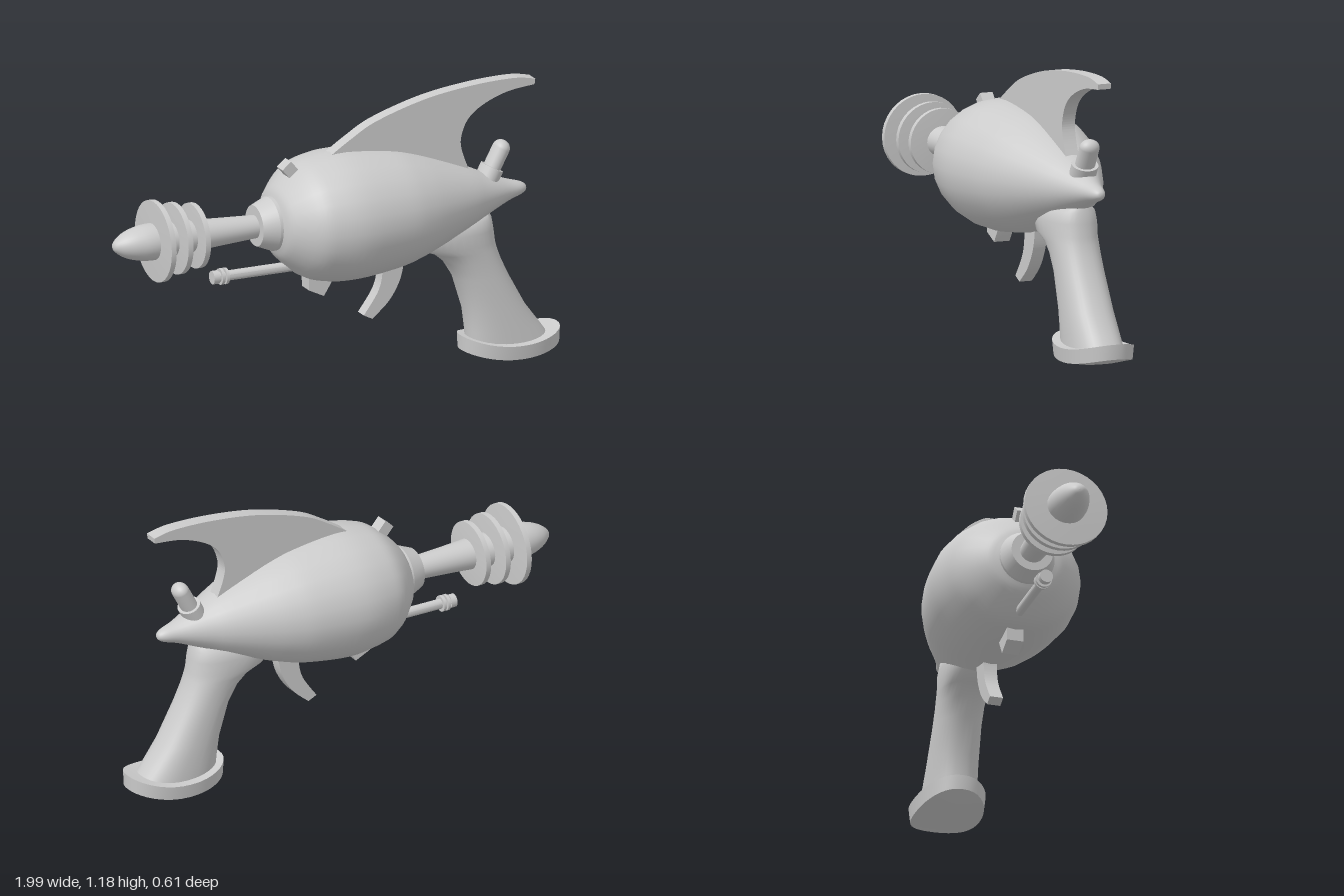
import * as THREE from 'three';
import { toCreasedNormals } from 'three/addons/utils/BufferGeometryUtils.js';

const AXIS_Y = 0.7; // height of the barrel and body axis
const material = new THREE.MeshStandardMaterial({ color: 0xcccccc, side: THREE.DoubleSide });
const vec = (list) => list.map(([x, y]) => new THREE.Vector2(x, y));

function part(name, geometry, x = 0, y = 0) {
  const mesh = new THREE.Mesh(geometry, material);
  mesh.name = name;
  mesh.position.set(x, y, 0);
  return mesh;
}

// Turned shape along x from [x, radius] points; the height is squashed by sy
function turned(points, { smooth = 0, sy = 1, sides = 32, crease = 0.6 } = {}) {
  let pts = vec(points);
  if (smooth) pts = new THREE.SplineCurve(pts).getPoints(smooth);
  const profile = pts.map((p) => new THREE.Vector2(Math.max(p.y, 0), p.x));
  const g = new THREE.LatheGeometry(profile, sides);
  g.rotateZ(-Math.PI / 2);
  g.scale(1, sy, 1);
  return smooth ? g : toCreasedNormals(g, crease);
}

// Flat plate of constant depth; each run of points is a smooth curve
function plate(runs, depth) {
  const shape = new THREE.Shape();
  runs.forEach((run, i) => {
    const [first, ...rest] = vec(run);
    if (i === 0) shape.moveTo(first.x, first.y);
    else shape.lineTo(first.x, first.y);
    if (rest.length > 1) shape.splineThru(rest);
    else rest.forEach((p) => shape.lineTo(p.x, p.y));
  });
  const g = new THREE.ExtrudeGeometry(shape, { depth, bevelEnabled: false, curveSegments: 20 });
  g.translate(0, 0, -depth / 2);
  return toCreasedNormals(g, 0.5);
}

// Loft through stacked rounded rings; ring(i, angle) returns [x, y, z]
function loft(count, sides, ring, crease) {
  const positions = [], index = [];
  for (let i = 0; i < count; i++) {
    for (let j = 0; j < sides; j++) positions.push(...ring(i, (j / sides) * Math.PI * 2));
  }
  for (let i = 0; i < count - 1; i++) {
    for (let j = 0; j < sides; j++) {
      const a = i * sides + j, b = i * sides + ((j + 1) % sides);
      index.push(a, a + sides, b, b, a + sides, b + sides);
    }
  }
  const g = new THREE.BufferGeometry();
  g.setAttribute('position', new THREE.Float32BufferAttribute(positions, 3));
  g.setIndex(index);
  return toCreasedNormals(g, crease);
}

const rounded = (v, power) => Math.sign(v) * Math.abs(v) ** (2 / power);

function createGrip() {
  // [y, front x, back x, half width]
  const keys = [
    [0.06, 0.59, 0.95, 0.105], [0.13, 0.585, 0.9, 0.103], [0.214, 0.575, 0.837, 0.1],
    [0.36, 0.53, 0.757, 0.095], [0.43, 0.487, 0.725, 0.095], [0.475, 0.435, 0.709, 0.098],
    [0.505, 0.36, 0.702, 0.102], [0.56, 0.34, 0.695, 0.104], [0.605, 0.35, 0.688, 0.095],
    [0.627, 0.37, 0.68, 0.07], [0.63, 0.5, 0.5, 0],
  ];
  return loft(keys.length, 36, (i, a) => {
    const [y, x0, x1, hz] = keys[i];
    return [(x0 + x1) / 2 + ((x1 - x0) / 2) * rounded(Math.cos(a), 2.4), y, hz * rounded(Math.sin(a), 2.4)];
  }, 0.9);
}

function createButt() {
  // Oval cap, bent upward at its two ends: [y, scale]
  const keys = [[0.003, 0], [0.006, 0.5], [0.016, 0.95], [0.075, 1], [0.075, 0.6], [0.075, 0]];
  return loft(keys.length, 40, (i, a) => {
    const [y, s] = keys[i];
    const dx = 0.222 * s * rounded(Math.cos(a), 2.2);
    return [0.773 + dx * (y < 0.05 ? 1.02 : 0.98), y + 0.72 * dx * dx, 0.145 * s * rounded(Math.sin(a), 2.2)];
  }, 0.6);
}

export function createModel() {
  const model = new THREE.Group();

  // Teardrop body
  model.add(part('body', turned([
    [-0.297, 0], [-0.295, 0.08], [-0.285, 0.125], [-0.26, 0.175], [-0.18, 0.256], [-0.1, 0.289], [0.03, 0.305],
    [0.22, 0.281], [0.33, 0.25], [0.436, 0.207], [0.57, 0.146], [0.65, 0.105], [0.757, 0.054],
    [0.82, 0.032], [0.845, 0.016], [0.85, 0],
  ], { smooth: 60, sy: 0.89, sides: 24 }), 0, AXIS_Y + 0.002));

  // Collar and barrel with a bullet-shaped nose
  model.add(part('collar', turned([
    [-0.365, 0], [-0.365, 0.088], [-0.3, 0.116], [-0.285, 0.116], [-0.285, 0],
  ], { sy: 0.96, crease: 0.35 }), 0, AXIS_Y + 0.003));
  model.add(part('barrel', turned([
    [-1, 0], [-0.992, 0.022], [-0.955, 0.052], [-0.9, 0.073], [-0.83, 0.082],
    [-0.7, 0.075], [-0.55, 0.063], [-0.34, 0.05],
  ], { smooth: 40, sy: 0.92 }), 0, AXIS_Y));

  // Cooling discs, thinner toward the rim
  [[-0.807, 0.176], [-0.721, 0.154], [-0.636, 0.14]].forEach(([x, r], i) => {
    model.add(part(`coolingDisc${i + 1}`, turned([
      [-0.016, 0], [-0.016, 0.07], [-0.011, r], [0.011, r], [0.016, 0.07], [0.016, 0],
    ], { sy: 0.957, sides: 36 }), x, AXIS_Y));
  });

  // Thin lower rod with a ringed tip
  model.add(part('lowerRod', turned([
    [-0.54, 0], [-0.54, 0.021], [-0.1, 0.021], [-0.1, 0],
  ], { sides: 16 }), 0, 0.508));
  [[-0.543, 0.026, 0.028], [-0.516, 0.012, 0.034], [-0.496, 0.012, 0.034]].forEach(([x, w, r], i) => {
    const ring = new THREE.CylinderGeometry(r, r, w, 16);
    ring.rotateZ(Math.PI / 2);
    model.add(part(`rodRing${i + 1}`, ring, x, 0.508));
  });

  // Dorsal fin
  model.add(part('fin', plate([
    [[-0.05, 0.955], [0.05, 1.02], [0.168, 1.083], [0.382, 1.146], [0.596, 1.176], [0.783, 1.182], [0.88, 1.166]],
    [[0.877, 1.143], [0.757, 1.129], [0.65, 1.09], [0.58, 1.037], [0.548, 0.963], [0.553, 0.9], [0.59, 0.8]],
    [[0.55, 0.74], [0.1, 0.85]],
  ], 0.058)));

  // Front sight, lower lug and trigger
  const sight = part('frontSight', new THREE.BoxGeometry(0.05, 0.14, 0.056), -0.19, 0.894);
  sight.rotation.z = 0.7;
  sight.position.x = -0.188;
  model.add(sight);
  model.add(part('lowerLug', plate([
    [[-0.138, 0.5], [-0.136, 0.405]], [[-0.07, 0.373], [-0.025, 0.445]], [[-0.01, 0.52], [-0.1, 0.54]],
  ], 0.07)));
  model.add(part('trigger', plate([
    [[0.19, 0.52], [0.196, 0.44], [0.177, 0.358], [0.112, 0.262]],
    [[0.15, 0.243], [0.225, 0.31], [0.273, 0.39], [0.292, 0.47], [0.295, 0.52]],
  ], 0.056)));

  // Grip and its cap
  model.add(part('grip', createGrip()));
  model.add(part('gripCap', createButt()));

  // Tilted rear knob on a short socket
  const knob = new THREE.Group();
  knob.name = 'rearKnob';
  knob.add(part('knobSocket', new THREE.CylinderGeometry(0.047, 0.047, 0.09, 24), 0, -0.045));
  knob.add(part('knobDome', new THREE.CapsuleGeometry(0.035, 0.12, 8, 24), 0, 0.025));
  knob.position.set(0.7, 0.807, 0);
  knob.rotation.z = -0.49;
  knob.scale.z = 1.22;
  model.add(knob);

  return model;
}
